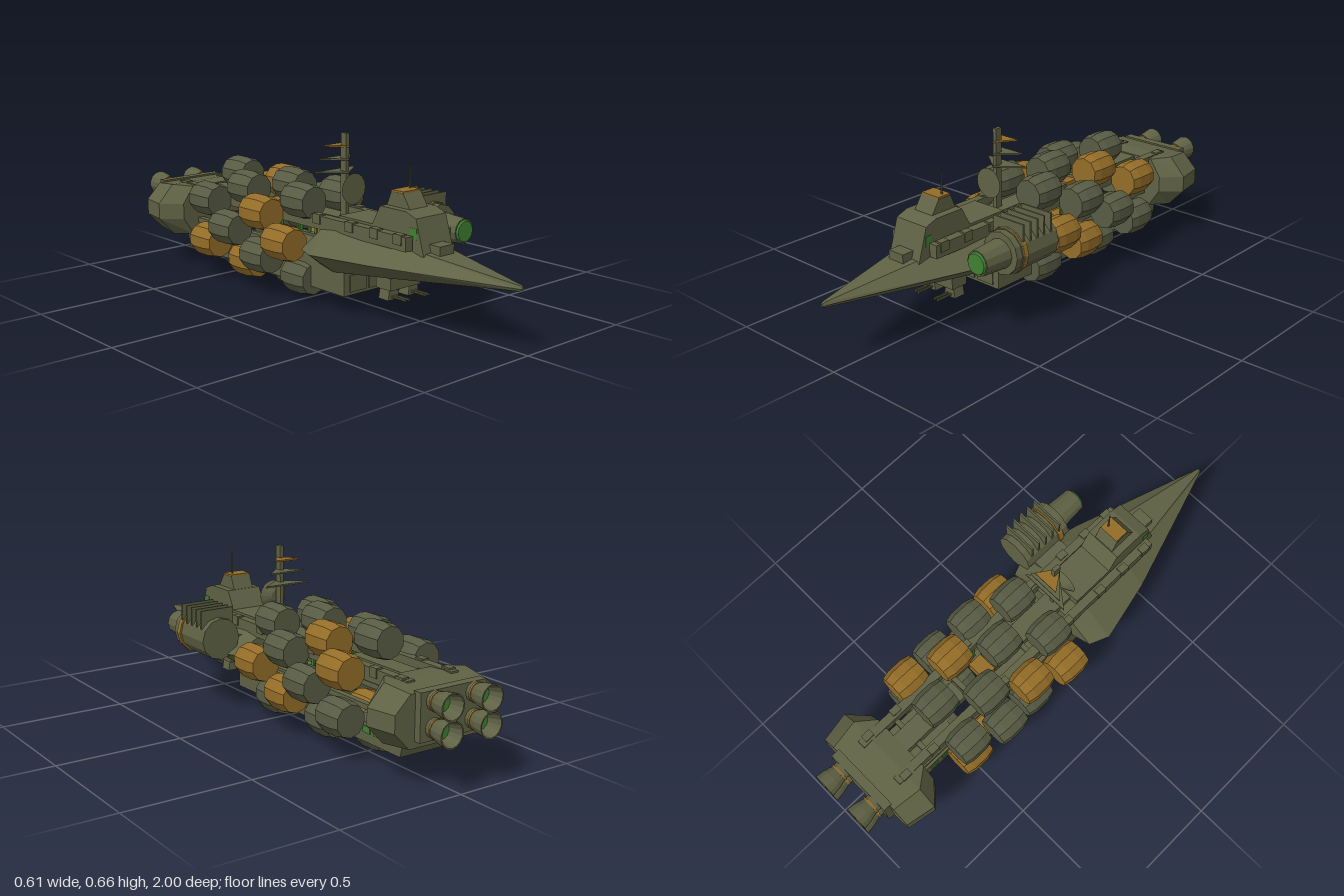
import * as THREE from 'three';

const CX = -0.04; // the ship's centreline
const paint = (name, color) => Object.assign(new THREE.MeshStandardMaterial({ color }), { name });

// Prism through cross-sections [z, points], back to front, points anticlockwise seen from the front
function loft(sections) {
  const pos = [];
  const n = sections[0][1].length;
  const v = (i, j) => [...sections[i][1][j % n], sections[i][0]];
  const last = sections.length - 1;
  for (let j = 0; j < n; j++) {
    for (let i = 0; i < last; i++) {
      const [a, b, c, d] = [v(i, j), v(i, j + 1), v(i + 1, j + 1), v(i + 1, j)];
      pos.push(...a, ...b, ...c, ...a, ...c, ...d);
    }
    if (j > 0 && j < n - 1) {
      pos.push(...v(0, 0), ...v(0, j + 1), ...v(0, j));
      pos.push(...v(last, 0), ...v(last, j), ...v(last, j + 1));
    }
  }
  const g = new THREE.BufferGeometry();
  g.setAttribute('position', new THREE.Float32BufferAttribute(pos, 3));
  return g;
}

// Side profile of [z, y] points extruded across the ship
function sideExtrude(points, x0, x1) {
  const shape = new THREE.Shape(points.map(([z, y]) => new THREE.Vector2(-z, y)));
  return new THREE.ExtrudeGeometry(shape, { depth: x1 - x0, bevelEnabled: false })
    .rotateY(Math.PI / 2).translate(x0, 0, 0);
}

// Cylinder along z
function tubeZ(rBack, rFront, z0, z1, x, y, sides = 12) {
  return new THREE.CylinderGeometry(rFront, rBack, z1 - z0, sides)
    .rotateX(Math.PI / 2).translate(x, y, (z0 + z1) / 2);
}

const lathe = (pts, sides) => new THREE.LatheGeometry(pts.map(p => new THREE.Vector2(...p)), sides);

export function createModel() {
  const olive = paint('olive hull', 0x5f6244);
  const tankOlive = paint('tank olive', 0x585c44);
  const ochre = paint('ochre', 0x946d28);
  const green = paint('glowing green', 0x3f8032);
  const root = new THREE.Group();

  const add = (name, mat, geo) => {
    const g = geo.index ? geo.toNonIndexed() : geo;
    g.computeVertexNormals(); // flat facets
    const mesh = new THREE.Mesh(g, mat);
    mesh.name = name;
    root.add(mesh);
    return mesh;
  };
  const box = (name, mat, x0, x1, y0, y1, z0, z1) => add(name, mat,
    new THREE.BoxGeometry(x1 - x0, y1 - y0, z1 - z0)
      .translate((x0 + x1) / 2, (y0 + y1) / 2, (z0 + z1) / 2));
  // Box pair mirrored about the centreline, distances measured from it
  const pair = (name, mat, d0, d1, ...rest) => {
    box(name, mat, CX + d0, CX + d1, ...rest);
    box(name, mat, CX - d1, CX - d0, ...rest);
  };

  // Wedge nose
  const hull = (z, w, wt, yt, wb, yb) => [z, [[CX + w, 0.245], [CX + wt, yt], [CX - wt, yt],
    [CX - w, 0.245], [CX - wb, yb], [CX + wb, yb]]];
  add('noseHull', olive, loft([
    hull(0.12, 0.21, 0.1, 0.315, 0.11, 0.168),
    hull(0.2, 0.243, 0.1, 0.325, 0.12, 0.158),
    hull(0.45, 0.185, 0.09, 0.318, 0.09, 0.182),
    hull(0.99, 0.011, 0.006, 0.256, 0.006, 0.236),
    hull(1, 0.006, 0.003, 0.25, 0.003, 0.24)]));

  // Bridge tower
  add('bridgeLower', olive, sideExtrude(
    [[0.62, 0.29], [0.32, 0.29], [0.4, 0.438], [0.53, 0.438], [0.58, 0.42]], CX - 0.076, CX + 0.076));
  add('bridgeUpper', olive, sideExtrude(
    [[0.525, 0.43], [0.4, 0.43], [0.425, 0.49], [0.485, 0.49]], CX - 0.045, CX + 0.045));
  box('bridgeRoof', ochre, CX - 0.043, CX + 0.043, 0.489, 0.497, 0.425, 0.485);
  box('bridgeDeck', olive, CX - 0.076, CX + 0.076, 0.3, 0.365, 0.18, 0.42);
  box('foreCabin', olive, CX - 0.036, CX + 0.036, 0.29, 0.328, 0.6, 0.66);
  pair('bridgeWindow', green, 0.074, 0.078, 0.345, 0.385, 0.555, 0.585);
  add('whipAerial', olive, new THREE.CylinderGeometry(0.002, 0.004, 0.1, 6).translate(-0.015, 0.54, 0.45));

  // Mast with triangular aerial plates
  box('mast', olive, CX - 0.008, CX + 0.008, 0.33, 0.663, 0.115, 0.145);
  [[0.514, 0.102, olive], [0.563, 0.078, olive], [0.612, 0.055, ochre]].forEach(([y, w, mat]) => {
    const tri = new THREE.Shape([[-w, -0.075], [w, -0.075], [0, -0.155]].map(p => new THREE.Vector2(...p)));
    add('mastPlate', mat, new THREE.ExtrudeGeometry(tri, { depth: 0.006, bevelEnabled: false })
      .rotateX(-Math.PI / 2).translate(CX, y - 0.003, 0));
  });
  add('dish', olive, tubeZ(0.022, 0.06, 0.155, 0.18, CX, 0.455, 16));

  // Long spine and rails
  pair('upperRail', olive, 0.08, 0.115, 0.305, 0.357, -0.8, 0.57);
  pair('lowerRail', olive, 0.075, 0.1, 0.19, 0.21, -0.72, 0.2);
  box('spine', olive, CX - 0.04, CX + 0.04, 0.3, 0.345, -0.23, 0.2);
  box('spine', olive, CX - 0.04, CX + 0.04, 0.3, 0.345, -0.72, -0.39);
  box('spineHatch', ochre, CX - 0.04, CX + 0.04, 0.3, 0.35, -0.295, -0.235);
  for (const z of [-0.76, -0.62, -0.25, 0.1, 0.28, 0.41, 0.53])
    pair('railClamp', olive, 0.09, 0.119, 0.325, 0.363, z - 0.02, z + 0.02);
  for (const z of [-0.64, -0.37, -0.09, 0.08])
    box('crossBeam', olive, CX - 0.1, CX + 0.1, 0.31, 0.33, z - 0.01, z + 0.01);
  for (const z of [-0.25, -0.23, -0.18, -0.14])
    pair('lightPost', green, 0.085, 0.095, 0.21, 0.305, z - 0.006, z + 0.006);

  // Keel blocks
  box('foreKeel', olive, CX - 0.117, CX + 0.117, 0.073, 0.2, -0.22, 0.255);
  pair('keelPanel', olive, 0.008, 0.09, 0.085, 0.15, 0.254, 0.26);
  add('aftKeel', olive, sideExtrude(
    [[-0.48, 0.07], [-0.755, 0.07], [-0.775, 0.145], [-0.48, 0.145]], CX - 0.1, CX + 0.1));
  for (const z of [-0.57, -0.63, -0.69])
    pair('keelWindow', green, 0.099, 0.103, 0.105, 0.13, z - 0.02, z + 0.02);

  // Chin mount and twin guns
  box('chinMount', olive, CX - 0.077, CX + 0.077, 0.132, 0.178, 0.385, 0.46);
  for (const side of [-1, 1]) {
    const x = CX + side * 0.051;
    add('turret', olive, loft([0.4, 0.45].map(z => [z,
      [[x + 0.028, 0.094], [x + 0.02, 0.14], [x - 0.02, 0.14], [x - 0.028, 0.094]]])));
    for (const dx of [-0.009, 0.009])
      add('gunBarrel', olive, tubeZ(0.005, 0.005, 0.44, 0.52, x + dx, 0.107, 8));
  }

  // Sensor pod on the left side
  const [px, py] = [0.215, 0.31];
  add('podBody', olive, tubeZ(0.083, 0.083, 0.165, 0.39, px, py));
  add('podBand', ochre, tubeZ(0.09, 0.09, 0.335, 0.355, px, py));
  add('podFlange', olive, tubeZ(0.089, 0.087, 0.355, 0.362, px, py));
  add('podSnout', olive, tubeZ(0.057, 0.049, 0.39, 0.508, px, py));
  add('podLens', green, tubeZ(0.044, 0.04, 0.508, 0.516, px, py));
  for (let i = 0; i < 5; i++) {
    const z = 0.195 + i * 0.0375;
    box('podFin', olive, px - 0.072, px + 0.072, 0.35, 0.427, z - 0.004, z + 0.004);
  }
  box('podStrut', olive, 0.05, 0.18, 0.265, 0.305, 0.2, 0.34);

  // Rings of cargo tanks, turned by half a step on alternate rows
  const tank = () => lathe([[0, -0.067], [0.062, -0.067], [0.07, -0.032], [0.07, 0.032],
    [0.062, 0.067], [0, 0.067]], 10).rotateX(Math.PI / 2);
  const rows = [
    { z: 0, start: 0, ochre: [0, 180] },
    { z: -0.168, start: 30, ochre: [150, 330] },
    { z: -0.335, start: 0, ochre: [60, 240] },
    { z: -0.502, start: 30, ochre: [30, 210] }];
  for (const row of rows) {
    for (let a = row.start; a < 360; a += 60) {
      const t = a * Math.PI / 180;
      add('cargoTank', row.ochre.includes(a) ? ochre : tankOlive,
        tank().translate(CX + 0.197 * Math.cos(t), 0.247 + 0.173 * Math.sin(t), row.z));
    }
  }

  // Engine block with chamfered sides
  const block = (z, w, y0, y1) => [z, [[CX + w, 0.215], [CX + w, 0.28], [CX + w * 0.72, y1],
    [CX - w * 0.72, y1], [CX - w, 0.28], [CX - w, 0.215], [CX - w * 0.72, y0], [CX + w * 0.72, y0]]];
  add('engineBlock', olive, loft([block(-0.88, 0.23, 0.15, 0.342),
    block(-0.76, 0.252, 0.14, 0.355), block(-0.69, 0.175, 0.142, 0.35)]));
  box('enginePlate', olive, CX - 0.145, CX + 0.145, 0.175, 0.35, -0.907, -0.87);

  // Four bell nozzles
  for (const dx of [-0.087, 0.087]) {
    for (const y of [0.22, 0.315]) {
      const x = CX + dx;
      add('nozzle', olive, lathe([[0.036, 0], [0.034, 0.025], [0.044, 0.06], [0.05, 0.1],
        [0.045, 0.1], [0.028, 0.04], [0, 0.04]], 14).rotateX(-Math.PI / 2).translate(x, y, -0.9));
      add('nozzleBand', ochre, tubeZ(0.038, 0.038, -0.93, -0.922, x, y, 14));
      add('nozzleGlow', green, tubeZ(0.031, 0.029, -0.949, -0.938, x, y, 14));
    }
  }
  return root;
}
